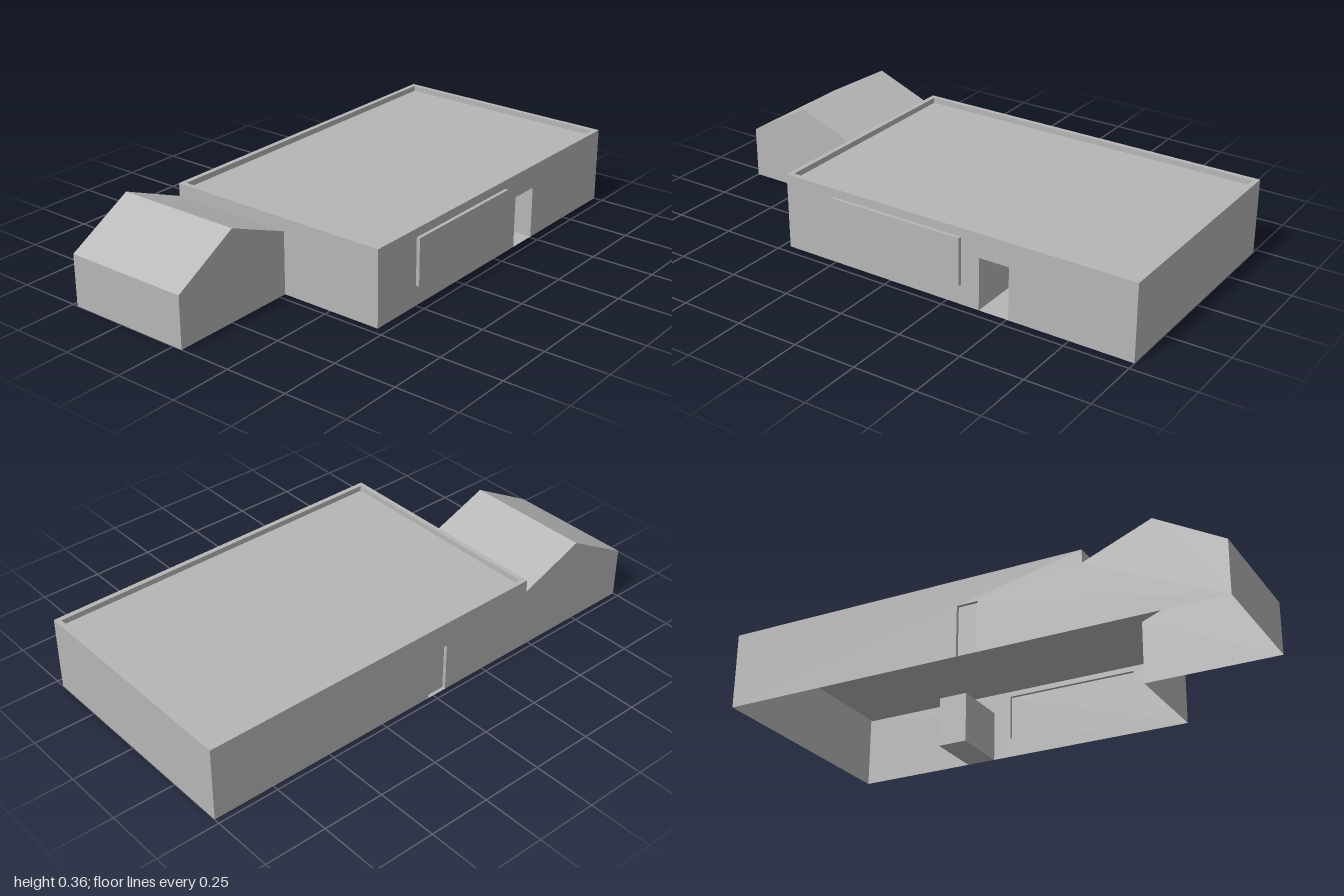
import * as THREE from 'three';

// Main block extents
const X0 = -0.47, X1 = 1, Z0 = -0.477, Z1 = 0.463, H = 0.302;
// Annex extents, eaves and ridge
const AX = -1, AZ = 0.04, RIDGE_X = -0.735, RIDGE_Y = 0.355, EAVE_L = 0.205, EAVE_R = 0.25;

const rect = (a0, b0, a1, b1) => [[a0, b0], [a1, b0], [a1, b1], [a0, b1]];
const toVectors = pts => pts.map(p => new THREE.Vector2(...p));

function reverseFaces(geo) {
  const index = Array.from(geo.index.array);
  for (let i = 0; i < index.length; i += 3) [index[i], index[i + 1]] = [index[i + 1], index[i]];
  geo.setIndex(index);
  geo.computeVertexNormals();
}

export function createModel() {
  const group = new THREE.Group();
  group.name = 'building';
  const grey = new THREE.MeshStandardMaterial({ color: 0xb6b6b6, side: THREE.DoubleSide });
  grey.name = 'grey';

  function add(name, geo) {
    const mesh = new THREE.Mesh(geo, grey);
    mesh.name = name;
    group.add(mesh);
  }

  // Flat sheet: a 2D outline placed by a mapping to 3D, optionally flipped
  function panel(name, pts, place, flip = false, holes = []) {
    const shape = new THREE.Shape(toVectors(pts));
    holes.forEach(h => shape.holes.push(new THREE.Path(toVectors(h))));
    const geo = new THREE.ShapeGeometry(shape);
    const pos = geo.attributes.position;
    for (let i = 0; i < pos.count; i++) pos.setXYZ(i, ...place(pos.getX(i), pos.getY(i)));
    if (flip) reverseFaces(geo);
    geo.computeVertexNormals();
    add(name, geo);
  }
  const atZ = z => (x, y) => [x, y, z];
  const atX = x => (z, y) => [x, y, z];
  const atY = f => (x, z) => [x, f(x), z];

  // Box with one side left open (0..5 = +x -x +y -y +z -z); inward boxes face inside
  function openBox(name, [x0, x1], [y0, y1], [z0, z1], open, inward) {
    const geo = new THREE.BoxGeometry(x1 - x0, y1 - y0, z1 - z0);
    const index = Array.from(geo.index.array);
    index.splice(open * 6, 6);
    geo.setIndex(index);
    geo.clearGroups();
    geo.translate((x0 + x1) / 2, (y0 + y1) / 2, (z0 + z1) / 2);
    if (inward) reverseFaces(geo);
    add(name, geo);
  }

  // Front wall, with a notch for the porch and an opening for the bay
  const porch = [0.385, 0.507], porchH = 0.208;
  const bayX = [-0.25, 0.31], bayY = [0.08, 0.268];
  panel('frontWall', [[X0, 0], [porch[0], 0], [porch[0], porchH], [porch[1], porchH],
    [porch[1], 0], [X1, 0], [X1, H], [X0, H]], atZ(Z1), false,
    [rect(bayX[0], bayY[0], bayX[1], bayY[1])]);
  openBox('porchRecess', porch, [0, porchH], [Z1 - 0.24, Z1], 4, true);
  openBox('windowBay', bayX, bayY, [Z1, Z1 + 0.014], 5, false);

  // Back wall runs on across the annex gable, with a shallow door recess
  const door = [-0.06, 0.025], doorH = 0.2;
  panel('backWall', [[AX, 0], [door[0], 0], [door[0], doorH], [door[1], doorH], [door[1], 0],
    [X1, 0], [X1, H], [X0, H], [X0, EAVE_R], [RIDGE_X, RIDGE_Y], [AX, EAVE_L]], atZ(Z0), true);
  openBox('backDoor', door, [0, doorH], [Z0, Z0 + 0.014], 5, true);

  // Side walls; the right one of these leaves the annex open to the hall
  panel('leftWall', rect(Z0, 0, Z1, H), atX(X1), true);
  panel('rightWall', [[AZ, 0], [Z1, 0], [Z1, H], [Z0, H], [Z0, EAVE_R], [AZ, EAVE_R]], atX(X0));

  // Parapet rim and sunken roof deck
  const t = 0.02;
  panel('parapetRim', rect(X0, Z0, X1, Z1), atY(() => H), true,
    [rect(X0 + t, Z0 + t, X1 - t, Z1 - t)]);
  openBox('roofDeck', [X0 + t, X1 - t], [H - 0.022, H], [Z0 + t, Z1 - t], 2, true);

  // Annex with a lopsided gable roof
  panel('annexFront', [[AX, 0], [X0, 0], [X0, EAVE_R], [RIDGE_X, RIDGE_Y], [AX, EAVE_L]], atZ(AZ));
  panel('annexSide', rect(Z0, 0, AZ, EAVE_L), atX(AX));
  const slope = (xa, ya, xb, yb) => x => ya + (yb - ya) * (x - xa) / (xb - xa);
  panel('annexRoofOuter', rect(AX, Z0, RIDGE_X, AZ),
    atY(slope(AX, EAVE_L, RIDGE_X, RIDGE_Y)), true);
  panel('annexRoofInner', rect(RIDGE_X, Z0, X0, AZ),
    atY(slope(RIDGE_X, RIDGE_Y, X0, EAVE_R)), true);

  return group;
}
